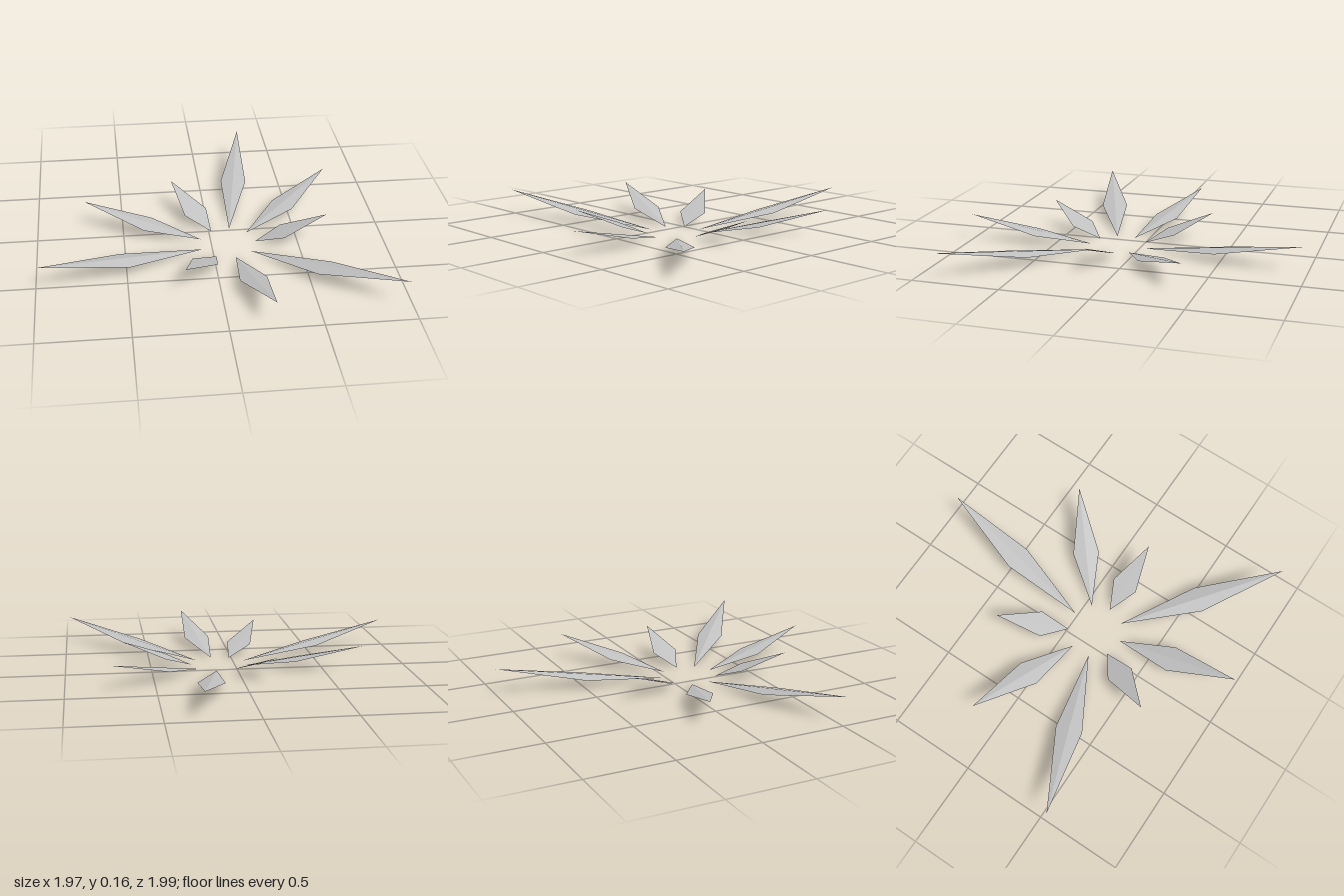
import * as THREE from 'three';

const CENTRE_X = 0.095, CENTRE_Z = 0.14; // middle of the ring of petals
const ROOT_RADIUS = 0.16, HALF_WIDTH = 0.077;
const MID_HEIGHT = 0.058, TIP_HEIGHT = 0.155;
const TIP_RADII = [0.575, 0.865, 1.152]; // short, medium, long

// One pointed petal along +x: a thin four-cornered blade rising to its tip
function petalGeometry(tipRadius) {
  const mid = tipRadius * 0.555;
  const geometry = new THREE.BufferGeometry();
  geometry.setAttribute('position', new THREE.Float32BufferAttribute([
    ROOT_RADIUS, 0, 0,
    mid, MID_HEIGHT, HALF_WIDTH,
    tipRadius, TIP_HEIGHT, 0,
    mid, MID_HEIGHT, -HALF_WIDTH,
  ], 3));
  geometry.setIndex([0, 1, 2, 0, 2, 3]);
  const flat = geometry.toNonIndexed();
  flat.computeVertexNormals();
  return flat;
}

export function createModel() {
  const model = new THREE.Group();
  model.name = 'petalBurst';
  const grey = new THREE.MeshStandardMaterial({ color: 0xc0c0c0, side: THREE.DoubleSide });
  grey.name = 'light grey';

  // Nine petals in a ring, repeating short, medium, long
  const geometries = TIP_RADII.map(petalGeometry);
  for (let i = 0; i < 9; i++) {
    const petal = new THREE.Mesh(geometries[i % 3], grey);
    petal.name = `petal${i + 1}`;
    petal.position.set(CENTRE_X, 0, CENTRE_Z);
    petal.rotation.y = (i * Math.PI * 2) / 9;
    model.add(petal);
  }
  return model;
}
